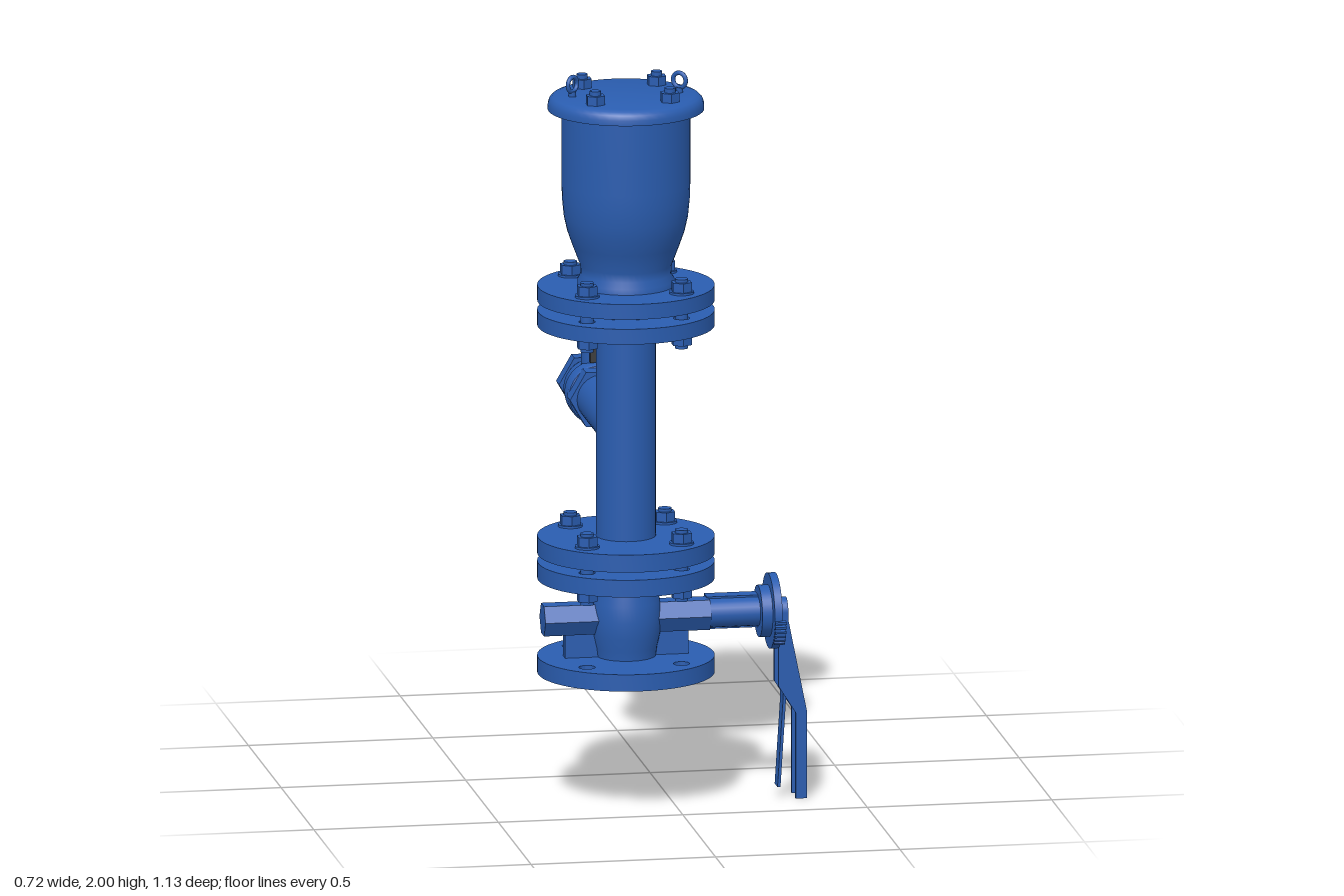
import * as THREE from 'three';
import { toCreasedNormals } from 'three/addons/utils/BufferGeometryUtils.js';

const CX = -0.124, CZ = 0.33; // main vertical axis
const V2 = (x, y) => new THREE.Vector2(x, y);

export function createModel() {
  const model = new THREE.Group();
  const blue = new THREE.MeshStandardMaterial({ color: 0x2a5db0, side: THREE.DoubleSide });
  const dark = new THREE.MeshStandardMaterial({ color: 0x3c3c3c });

  const add = (name, geo, x = 0, y = 0, z = 0, parent = model, mat = blue) => {
    const m = new THREE.Mesh(geo, mat);
    m.name = name;
    m.position.set(x, y, z);
    parent.add(m);
    return m;
  };
  const group = (name, x, y, z, parent = model) => {
    const g = new THREE.Group();
    g.name = name;
    g.position.set(x, y, z);
    parent.add(g);
    return g;
  };
  const lathe = (pts, seg = 48) =>
    toCreasedNormals(new THREE.LatheGeometry(pts.map(p => V2(p[0], p[1])), seg), 0.6);
  const cyl = (r, h, seg = 40) => seg < 12
    ? new THREE.CylinderGeometry(r, r, h, seg).toNonIndexed()
    : new THREE.CylinderGeometry(r, r, h, seg);
  const hex = (r, h) => toCreasedNormals(new THREE.CylinderGeometry(r, r, h, 6), 0.3);
  const extrude = (shape, depth) =>
    new THREE.ExtrudeGeometry(shape, { depth, bevelEnabled: false, curveSegments: 24 });

  // Everything on the vertical axis hangs from this group
  const column = group('column', CX, 0, CZ);

  // Flange disc with four bolt holes and an optional bore
  const R = 0.237, BOLT = 0.128;
  const corners = [[1, 1], [1, -1], [-1, -1], [-1, 1]];
  const flange = (name, y0, y1) => {
    const s = new THREE.Shape().absarc(0, 0, R, 0, Math.PI * 2);
    for (const [sx, sz] of corners)
      s.holes.push(new THREE.Path().absarc(sx * BOLT, sz * BOLT, 0.022, 0, Math.PI * 2, true));
    s.holes.push(new THREE.Path().absarc(0, 0, 0.065, 0, Math.PI * 2, true));
    const g = new THREE.ExtrudeGeometry(s, { depth: y1 - y0, bevelEnabled: false, curveSegments: 32 });
    g.rotateX(-Math.PI / 2);
    add(name, toCreasedNormals(g, 0.6), 0, y0, 0, column);
  };
  flange('valveBottomFlange', 0.359, 0.405);
  flange('valveTopFlange', 0.617, 0.664);
  flange('pipeBottomFlange', 0.685, 0.733);
  flange('pipeTopFlange', 1.31, 1.352);
  flange('canisterFlange', 1.378, 1.42);
  add('lowerGasket', cyl(0.13, 0.03), 0, 0.674, 0, column);
  add('upperGasket', cyl(0.13, 0.03), 0, 1.365, 0, column);

  // Bolts clamping each flange pair
  for (const [lo, hi] of [[0.617, 0.733], [1.31, 1.42]])
    for (const [sx, sz] of corners) {
      const b = group('flangeBolt', sx * BOLT, 0, sz * BOLT, column);
      add('shank', cyl(0.018, hi - lo + 0.08, 16), 0, (hi + lo) / 2, 0, b);
      add('washer', cyl(0.033, 0.006, 20), 0, hi + 0.003, 0, b);
      add('nut', hex(0.029, 0.027), 0, hi + 0.018, 0, b);
      add('head', hex(0.029, 0.03), 0, lo - 0.015, 0, b);
    }

  // Lower ball valve body with open bore and raised face
  add('ballValveBody', lathe([[0, 0.43], [0.03, 0.425], [0.065, 0.41], [0.065, 0.354], [0.128, 0.354], [0.128, 0.36],
    [0.1, 0.38], [0.08, 0.405], [0.083, 0.43], [0.091, 0.465], [0.094, 0.51], [0.091, 0.555], [0.083, 0.59],
    [0.08, 0.617], [0.12, 0.64]]), 0, 0, 0, column);
  add('valveWeb', new THREE.BoxGeometry(0.335, 0.11, 0.03), 0, 0.455, 0, column);

  // Cross stem through the valve, axis along x
  const alongX = (name, geo, x0, x1) => {
    const m = add(name, geo, (x0 + x1) / 2 - CX, 0.51, 0, column);
    m.rotation.z = -Math.PI / 2;
    return m;
  };
  alongX('stemCap', hex(0.047, 0.23), -0.35, -0.12);
  alongX('stemHousing', hex(0.047, 0.22), -0.12, 0.1);
  alongX('stemShaft', cyl(0.039, 0.16, 24), 0.09, 0.25);
  add('stemKey', new THREE.BoxGeometry(0.14, 0.088, 0.045), 0.165 - CX, 0.51, -0.022, column);
  alongX('stemCollar', cyl(0.07, 0.03), 0.234, 0.264);
  alongX('indexPlate', cyl(0.102, 0.021), 0.262, 0.283);
  for (let i = 0; i < 6; i++) {
    const a = -0.1 - i * 0.12;
    const t = add('indexTooth', new THREE.BoxGeometry(0.03, 0.007, 0.02),
      0.277 - CX, 0.51 + Math.sin(a) * 0.103, Math.cos(a) * 0.103, column);
    t.rotation.x = -a;
  }

  // Locking lever: channel section with a spring trigger behind it
  const lever = group('lockingLever', 0.0 - CX, 0, 0, column);
  const poly = pts => new THREE.Shape(pts.map(p => V2(p[0], p[1])));
  const side = poly([[0.283, 0.51], [0.283, 0.31], [0.33, 0.235], [0.33, 0], [0.36, 0], [0.36, 0.24], [0.31, 0.49], [0.31, 0.51]]);
  const face = poly([[0.302, 0.51], [0.302, 0.49], [0.35, 0.24], [0.35, 0], [0.36, 0], [0.36, 0.24], [0.31, 0.49], [0.31, 0.51]]);
  add('leverSide', extrude(side, 0.009), 0, 0, -0.036, lever);
  add('leverSide', extrude(side, 0.009), 0, 0, 0.027, lever);
  add('leverFace', extrude(face, 0.07), 0, 0, -0.035, lever);
  const hub = add('leverHub', cyl(0.036, 0.027, 32), 0.2965, 0.51, 0, lever);
  hub.rotation.z = Math.PI / 2;
  const trigger = poly([[0.298, 0.31], [0.306, 0.31], [0.306, 0.27], [0.291, 0.03], [0.283, 0.03], [0.298, 0.27]]);
  add('leverTrigger', extrude(trigger, 0.044), 0, 0, -0.022, lever);

  // Riser pipe
  add('riserPipe', cyl(0.08, 0.62), 0, 1.02, 0, column);

  // Float canister and lid
  add('canister', lathe([[0.13, 1.41], [0.13, 1.435], [0.121, 1.452], [0.122, 1.475], [0.143, 1.53], [0.157, 1.57],
    [0.166, 1.61], [0.171, 1.66], [0.172, 1.7], [0.172, 1.91]]), 0, 0, 0, column);
  add('lid', lathe([[0, 1.902], [0.209, 1.902], [0.209, 1.916], [0.205, 1.929], [0.197, 1.937], [0.185, 1.941], [0, 1.941]]),
    0, 0, 0, column);
  for (const [sx, sz] of corners) {
    const b = group('lidBolt', sx * 0.101, 1.94, sz * 0.101, column);
    add('nut', hex(0.027, 0.026), 0, 0.013, 0, b);
    add('stud', cyl(0.015, 0.038, 16), 0, 0.019, 0, b);
  }
  // Lifting eyes
  for (const s of [-1, 1]) {
    const e = group('liftingEye', s * 0.145, 1.94, 0, column);
    e.rotation.y = -s * 0.75;
    add('ring', new THREE.TorusGeometry(0.02, 0.006, 10, 28), 0, 0.034, 0, e);
    add('foot', cyl(0.01, 0.016, 16), 0, 0.007, 0, e);
  }
  // Drain plug on the canister side
  const plug = group('drainPlug', 0, 1.574, 0, column);
  plug.rotation.y = Math.PI / 4;
  for (const [n, g, x] of [['boss', cyl(0.036, 0.05, 24), 0.15], ['head', hex(0.027, 0.03), 0.188], ['tip', cyl(0.014, 0.012, 16), 0.205]])
    add(n, g, x, 0, 0, plug).rotation.z = -Math.PI / 2;

  // Side branch: local y runs toward the back
  const branch = group('sideBranch', CX, 1.02, 0);
  branch.rotation.x = -Math.PI / 2;
  add('branchPipe', cyl(0.067, 0.34), 0, -0.13, 0, branch);
  const rot = m => { m.rotation.y = Math.PI / 6; return m; };
  rot(add('inletHex', hex(0.086, 0.052), 0, 0.064, 0, branch));
  add('branchValveBody', lathe([[0.07, 0.085], [0.079, 0.088], [0.083, 0.094], [0.083, 0.14], [0.078, 0.147], [0.078, 0.185], [0.069, 0.21], [0.066, 0.23]]),
    0, 0, 0, branch);
  // Outlet hex with threaded bore
  const ring = new THREE.Shape();
  for (let i = 0; i < 6; i++) {
    const a = i * Math.PI / 3;
    ring[i ? 'lineTo' : 'moveTo'](Math.cos(a) * 0.083, Math.sin(a) * 0.083);
  }
  ring.holes.push(new THREE.Path().absarc(0, 0, 0.052, 0, Math.PI * 2, true));
  add('outletHex', toCreasedNormals(extrude(ring, 0.046).rotateX(-Math.PI / 2), 0.5), 0, 0.224, 0, branch);
  add('bore', lathe([[0, 0.17], [0.035, 0.175], [0.052, 0.2], [0.052, 0.23]]), 0, 0, 0, branch);

  // Branch valve stem and flat handle
  const top = group('branchHandle', CX, 0, -0.152);
  add('stemNeck', cyl(0.036, 0.06, 24), 0, 1.1, 0, top);
  add('stem', cyl(0.018, 0.08, 20), 0, 1.14, 0, top);
  add('stemNut', hex(0.027, 0.022), 0, 1.167, 0, top);
  add('stemTip', cyl(0.012, 0.015, 16), 0, 1.181, 0, top);
  // Extruded along x from a side profile, horizontal axis pointing back
  const strip = poly([[-0.048, 1.143], [0.055, 1.143], [0.072, 1.153], [0.108, 1.207], [0.415, 1.207],
    [0.415, 1.221], [0.1, 1.221], [0.062, 1.165], [0.05, 1.155], [-0.048, 1.155]]);
  add('handleStrip', extrude(strip, 0.052).rotateY(Math.PI / 2), -0.026, 0, 0, top, dark);
  add('handleStop', new THREE.BoxGeometry(0.03, 0.045, 0.01), -0.005, 1.128, 0.045, top, dark);
  add('handleTab', new THREE.BoxGeometry(0.035, 0.012, 0.018), 0.035, 1.149, -0.022, top, dark);

  return model;
}
